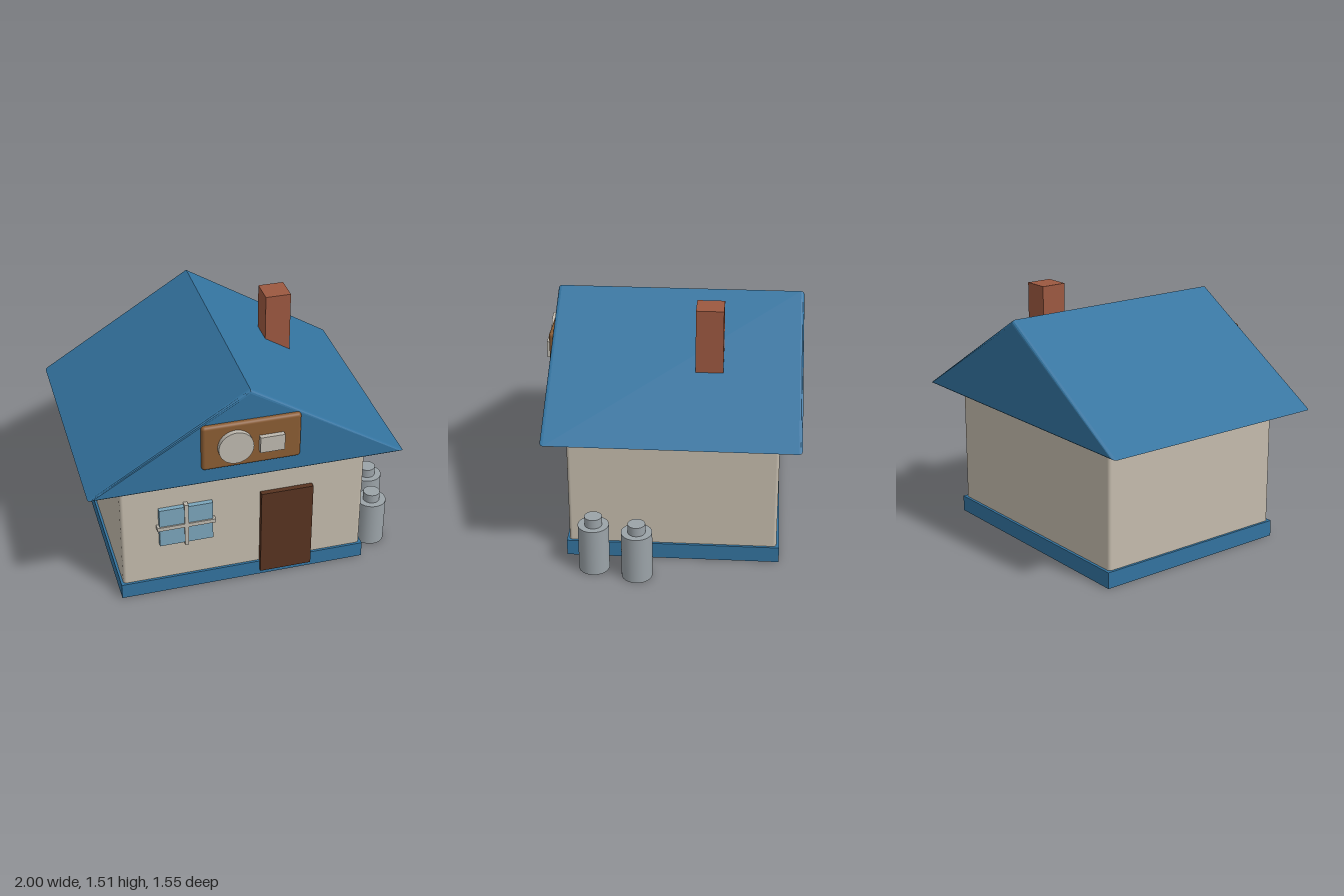
import * as THREE from 'three';
import { RoundedBoxGeometry } from 'three/addons/geometries/RoundedBoxGeometry.js';

const paint = (color) => new THREE.MeshStandardMaterial({ color });
const blue = paint(0x33739f);
const plaster = paint(0xc4bbac);
const wood = paint(0x8a5c33);
const darkWood = paint(0x573320);
const brick = paint(0x9c5840);
const glass = paint(0x7ba5bb);
const trim = paint(0xbdb8ae);
const steel = paint(0x9ba3a8);

export function createModel() {
  const house = new THREE.Group();
  house.name = 'house';

  function add(name, geometry, material, x = 0, y = 0, z = 0, parent = house) {
    const mesh = new THREE.Mesh(geometry, material);
    mesh.name = name;
    mesh.position.set(x, y, z);
    parent.add(mesh);
    return mesh;
  }

  // Box given by its extents; a radius rounds its edges
  function block(name, material, [x0, x1], [y0, y1], [z0, z1], radius = 0, parent = house) {
    const size = [x1 - x0, y1 - y0, z1 - z0];
    const geometry = radius
      ? new RoundedBoxGeometry(...size, 3, radius)
      : new THREE.BoxGeometry(...size);
    return add(name, geometry, material, (x0 + x1) / 2, (y0 + y1) / 2, (z0 + z1) / 2, parent);
  }

  // Foundation and walls
  block('foundation', blue, [-0.815, 0.725], [0, 0.1], [-0.667, 0.612]);
  block('walls', plaster, [-0.8, 0.71], [0.05, 0.855], [-0.65, 0.597], 0.02);

  // Gable roof with bevelled ends
  const bevel = 0.02;
  const gable = new THREE.Shape([
    new THREE.Vector2(-0.926, 0.856),
    new THREE.Vector2(0.926, 0.856),
    new THREE.Vector2(0, 1.418),
  ]);
  const roof = new THREE.ExtrudeGeometry(gable, {
    depth: 1.495 - 2 * bevel,
    bevelSize: bevel,
    bevelThickness: bevel,
    bevelSegments: 3,
  });
  add('roof', roof, blue, -0.048, 0, -0.775 + bevel);

  // Chimney
  block('chimney', brick, [0.3, 0.46], [1.0, 1.515], [-0.307, -0.145]);

  // Door
  block('door', darkWood, [0.055, 0.38], [0.035, 0.627], [0.58, 0.63]);

  // Window with crossing bars
  const window = new THREE.Group();
  window.name = 'window';
  house.add(window);
  block('windowPane', glass, [-0.573, -0.245], [0.365, 0.627], [0.58, 0.627], 0, window);
  block('windowUpright', trim, [-0.421, -0.397], [0.35, 0.645], [0.6, 0.636], 0, window);
  block('windowCrossbar', trim, [-0.588, -0.23], [0.483, 0.508], [0.6, 0.636], 0, window);

  // Gable board with a disc and a small plate
  const board = new THREE.Group();
  board.name = 'gableBoard';
  house.add(board);
  block('boardPanel', wood, [-0.34, 0.25], [0.955, 1.25], [0.69, 0.747], 0.02, board);
  const disc = new THREE.CylinderGeometry(0.104, 0.104, 0.04, 32).rotateX(Math.PI / 2);
  add('boardDisc', disc, trim, -0.145, 1.103, 0.757, board);
  block('boardPlate', trim, [-0.003, 0.143], [1.043, 1.146], [0.737, 0.777], 0, board);

  // Two canisters beside the house
  for (const [x, z] of [[0.842, 0.432], [0.908, 0.17]]) {
    const canister = new THREE.Group();
    canister.name = 'canister';
    canister.position.set(x, 0, z);
    house.add(canister);
    add('canisterBody', new THREE.CylinderGeometry(0.092, 0.092, 0.297, 24), steel, 0, 0.1485, 0, canister);
    add('canisterNeck', new THREE.CylinderGeometry(0.052, 0.052, 0.07, 24), steel, 0, 0.319, 0, canister);
  }

  return house;
}
